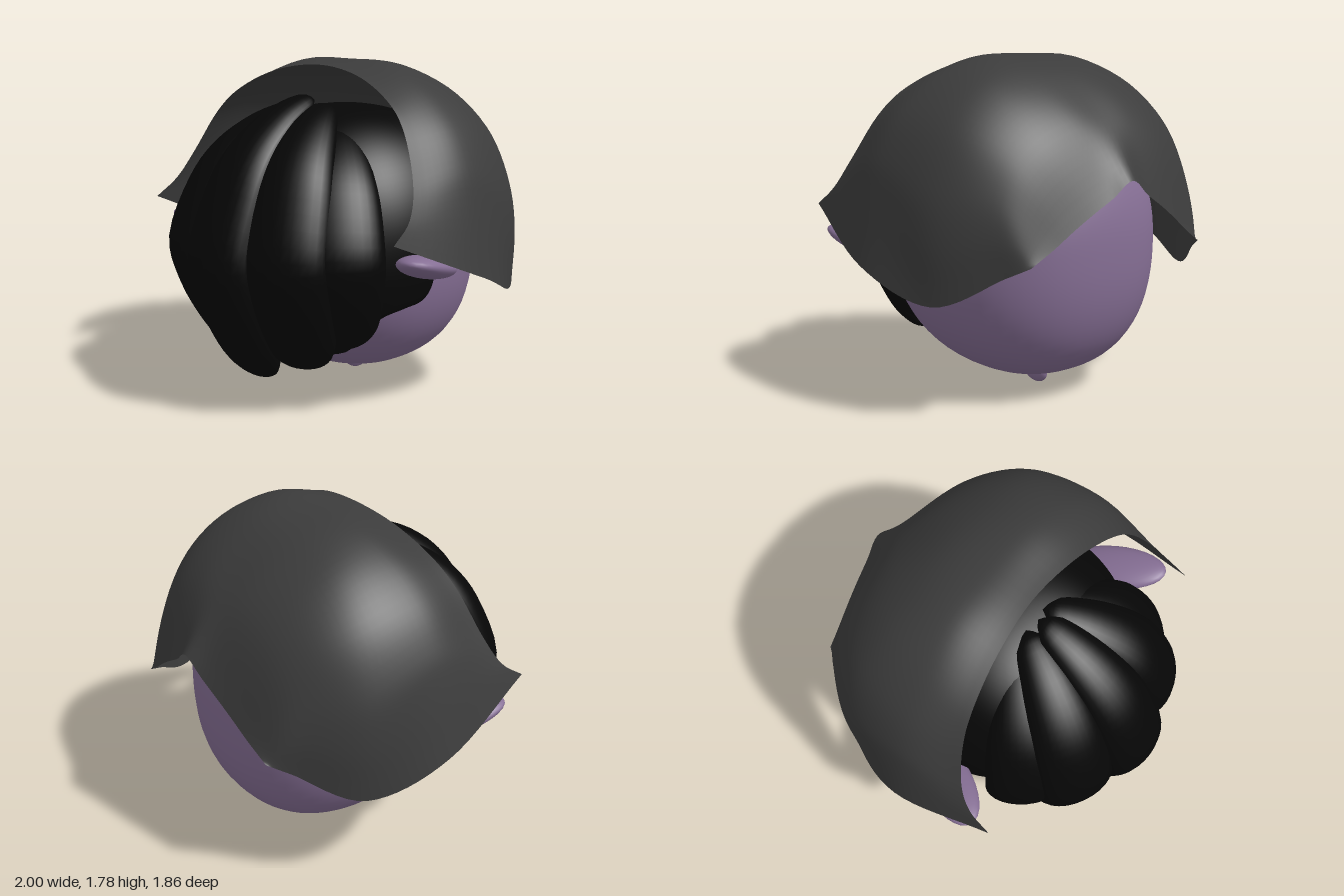
import * as THREE from 'three';
import { mergeVertices } from 'three/addons/utils/BufferGeometryUtils.js';

const { sin, cos, abs, pow, max, PI } = Math;
const material = (color, side = THREE.FrontSide) => new THREE.MeshStandardMaterial({ color, side });
const rad = THREE.MathUtils.degToRad;

// Smooth surface from a rule fn(u, v) -> Vector3
function surface(fn, nu, nv) {
  const pos = [], index = [];
  for (let j = 0; j <= nv; j++)
    for (let i = 0; i <= nu; i++) pos.push(...fn(i / nu, j / nv).toArray());
  for (let j = 0; j < nv; j++)
    for (let i = 0; i < nu; i++) {
      const a = j * (nu + 1) + i, b = a + nu + 1;
      index.push(a, b, a + 1, b, b + 1, a + 1);
    }
  let g = new THREE.BufferGeometry();
  g.setAttribute('position', new THREE.Float32BufferAttribute(pos, 3));
  g.setIndex(index);
  g = mergeVertices(g, 1e-5);
  g.computeVertexNormals();
  return g;
}

// Point on the slightly squared head ball, its chin drawn back; azimuth 0 faces the front
function headPoint(az, el, s = 1) {
  const d = new THREE.Vector3(cos(el) * sin(az), sin(el), cos(el) * cos(az));
  const n = 2.25;
  const k = s / pow(pow(abs(d.x), n) + pow(abs(d.y), n) + pow(abs(d.z), n), 1 / n);
  const chin = 0.1 * pow(max(0, -d.y * k), 2);
  return new THREE.Vector3(d.x * 0.69 * k, 0.8 + d.y * 0.72 * k, -0.1 + d.z * 0.68 * k - chin);
}

// Lower hairline from front to back: (azimuth, elevation) in degrees
const hairline = new THREE.SplineCurve([
  [0, -52], [38, -44], [48, -32], [58, -24], [68, -21], [77, -19], [82, -14], [84, -6], [86, 4], [97, 28], [130, 55], [180, 62],
].map(p => new THREE.Vector2(...p)));

// Outer side profile of a hair lobe: (distance from the axis, height)
const lobeProfile = new THREE.SplineCurve([
  [0.15, 1.58], [0.24, 1.61], [0.45, 1.54], [0.66, 1.39], [0.81, 1.18], [0.93, 0.85],
  [0.88, 0.58], [0.75, 0.32], [0.64, 0.19], [0.53, 0.14], [0.43, 0.2],
].map(p => new THREE.Vector2(...p)));

function lobeGeometry(azimuth, spread, yTop, yBottom, width) {
  return surface((u, v) => {
    const p = lobeProfile.getPoint(v), t = lobeProfile.getTangent(v);
    const swell = pow(abs(sin(PI * pow(v, 1.05))), 0.6);
    const depth = 0.13 * swell, w = width * swell * (0.8 + 0.25 * v);
    const a = -u * 2 * PI + PI;
    const off = depth * (cos(a) - 1);
    const r = (p.x - t.y * off) * spread;
    const y0 = p.y + t.x * off;
    const y = yBottom + (y0 - 0.14) / 1.47 * (yTop - yBottom);
    const side = w * sin(a);
    return new THREE.Vector3(
      r * sin(azimuth) - side * cos(azimuth), y, r * cos(azimuth) + side * sin(azimuth));
  }, 28, 40);
}

// Hood arches from front to back; each runs from the crown to the left rim
const hoodArches = [
  [[0, 1.76, 0.11], [0.3, 1.72, 0.135], [0.55, 1.61, 0.18], [0.7, 1.47, 0.225], [0.82, 1.25, 0.295], [0.88, 1.09, 0.385], [0.9, 0.99, 0.52]],
  [[0, 1.78, -0.15], [0.3, 1.77, -0.14], [0.55, 1.67, -0.11], [0.75, 1.5, -0.08], [0.87, 1.3, -0.06], [0.93, 1.1, -0.05], [1, 0.75, -0.05]],
  [[0, 1.7, -0.42], [0.28, 1.68, -0.42], [0.52, 1.6, -0.42], [0.72, 1.42, -0.43], [0.84, 1.16, -0.44], [0.88, 0.9, -0.45], [0.87, 0.6, -0.46]],
  [[0, 1.47, -0.7], [0.2, 1.46, -0.7], [0.4, 1.39, -0.7], [0.55, 1.27, -0.7], [0.64, 1.1, -0.71], [0.67, 0.93, -0.73], [0.655, 0.755, -0.75]],
  [[0, 1.18, -0.93], [0.12, 1.1, -0.915], [0.24, 1.03, -0.9], [0.35, 0.96, -0.885], [0.45, 0.89, -0.87], [0.53, 0.84, -0.857], [0.58, 0.81, -0.85]],
];

function hoodGeometry() {
  const arches = hoodArches.map(half => {
    const left = half.map(p => new THREE.Vector3(...p));
    const right = left.slice(1).reverse().map(p => new THREE.Vector3(-p.x, p.y, p.z));
    return new THREE.CatmullRomCurve3([...right, ...left], false, 'catmullrom', 0.5);
  });
  return surface((u, v) =>
    new THREE.CatmullRomCurve3(arches.map(c => c.getPoint(u)), false, 'catmullrom', 0.5).getPoint(1 - v), 60, 32);
}

export function createModel() {
  const model = new THREE.Group();
  const skin = material(0x866f95), hair = material(0x060606, THREE.DoubleSide);
  const cloth = material(0x3c3c3c, THREE.DoubleSide);
  const add = (name, geometry, mat) => {
    const mesh = new THREE.Mesh(geometry, mat);
    mesh.name = name;
    model.add(mesh);
    return mesh;
  };

  add('head', surface((u, v) => headPoint((u * 2 - 1) * PI, (0.5 - v) * PI), 56, 40), skin);

  // Close-fitting hair whose last row tucks into the head
  add('hairCap', surface((u, v) => {
    const s = u * 2 - 1, edge = hairline.getPoint(abs(s));
    const el = THREE.MathUtils.lerp(PI / 2, rad(edge.y), v);
    return headPoint(Math.sign(s) * rad(edge.x), el, v === 1 ? 0.95 : 1.03);
  }, 120, 40), hair);

  // Fanned front hair
  add('frontHairLobe', lobeGeometry(0, 1, 1.61, 0.14, 0.23), hair);
  for (const s of [1, -1]) {
    const side = s > 0 ? 'left' : 'right';
    add(side + 'InnerHairLobe', lobeGeometry(s * rad(28), 0.97, 1.57, 0.22, 0.23), hair);
    add(side + 'OuterHairLobe', lobeGeometry(s * rad(48), 0.91, 1.47, 0.32, 0.23), hair);

    // Flat leaf-shaped ear pointing forward and outward
    const ear = add(side + 'Ear', new THREE.SphereGeometry(1, 32, 20), skin);
    ear.scale.set(0.135, 0.06, 0.31);
    ear.position.set(s * 0.78, 0.8, 0.13);
    ear.rotation.set(-0.26, s * 0.42, 0, 'YXZ');
  }

  // Small nub beneath the head
  const nub = add('neckNub', new THREE.SphereGeometry(1, 24, 16), skin);
  nub.scale.set(0.04, 0.075, 0.1);
  nub.position.set(-0.01, 0.08, -0.2);
  nub.rotation.x = -0.4;

  add('hood', hoodGeometry(), cloth);
  return model;
}
